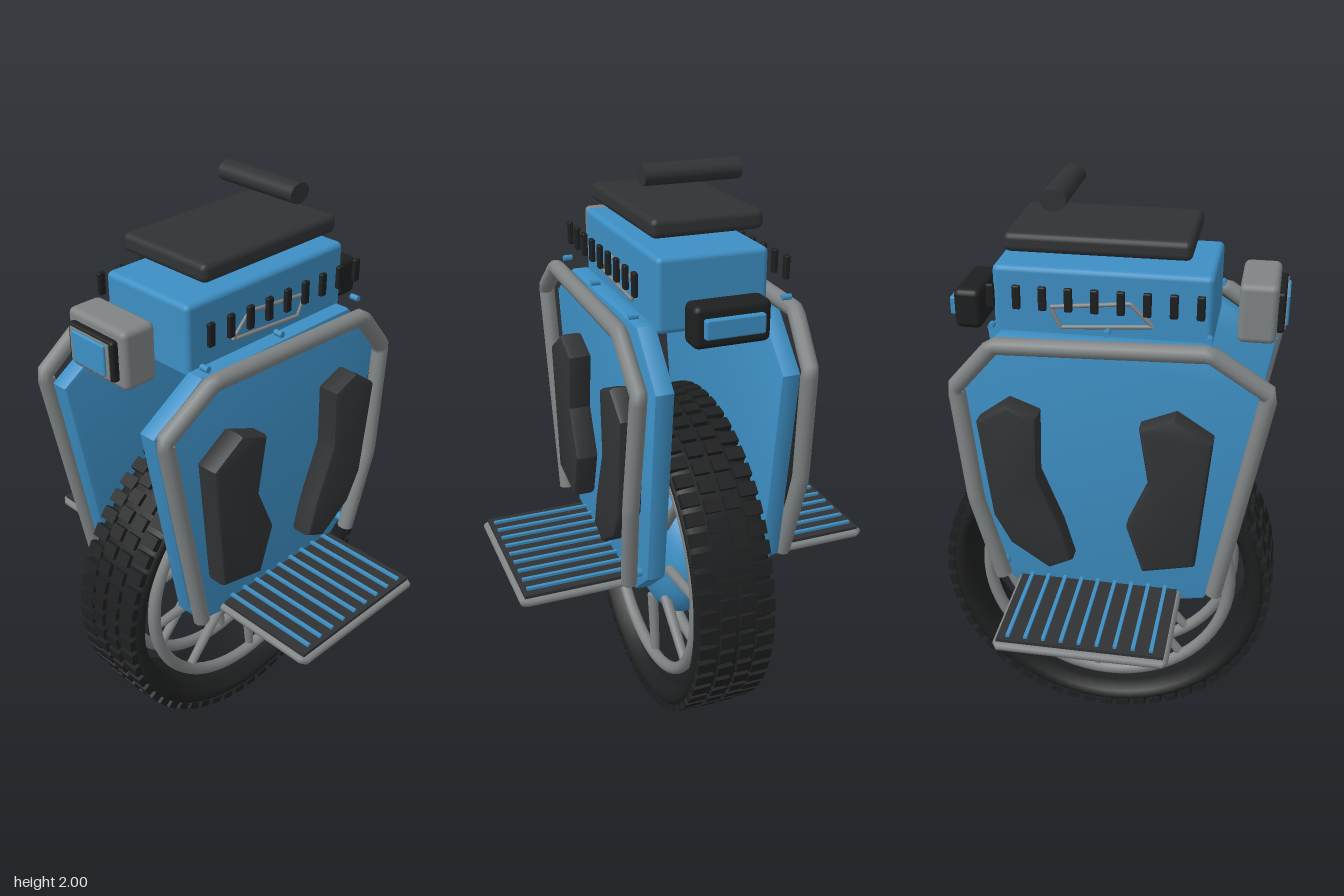
import * as THREE from 'three';
import { RoundedBoxGeometry } from 'three/addons/geometries/RoundedBoxGeometry.js';
import { toCreasedNormals } from 'three/addons/utils/BufferGeometryUtils.js';

const mat = (color) => new THREE.MeshStandardMaterial({ color });
const blue = mat(0x3d8fc4), dark = mat(0x303234), black = mat(0x1e1f20), steel = mat(0x808484);
const WHEEL_Y = 0.59;

export function createModel() {
  const model = new THREE.Group();

  const add = (name, geometry, material, x = 0, y = 0, z = 0, parent = model) => {
    const mesh = new THREE.Mesh(geometry, material);
    mesh.name = name;
    mesh.position.set(x, y, z);
    parent.add(mesh);
    return mesh;
  };
  const group = (name, y = 0) => {
    const g = new THREE.Group();
    g.name = name;
    g.position.y = y;
    model.add(g);
    return g;
  };
  const rounded = (w, h, d, r) => new RoundedBoxGeometry(w, h, d, 2, r);
  const axleCylinder = (r, length, sides = 24) =>
    new THREE.CylinderGeometry(r, r, length, sides).rotateZ(Math.PI / 2);

  // Plate from a (z, y) outline, bevelled and centred on x = 0
  const plate = (outline, thickness, bevel) => {
    const shape = new THREE.Shape(outline.map(([z, y]) => new THREE.Vector2(z, y)));
    const geometry = new THREE.ExtrudeGeometry(shape, {
      depth: thickness - 2 * bevel, bevelThickness: bevel, bevelSize: bevel,
      bevelOffset: -bevel, bevelSegments: 2,
    });
    geometry.translate(0, 0, bevel - thickness / 2).rotateY(-Math.PI / 2);
    return toCreasedNormals(geometry, 0.5);
  };

  // Bent bar with straight runs between its points
  const bar = (points, radius, closed = false) => {
    const path = new THREE.CatmullRomCurve3(
      points.map((p) => new THREE.Vector3(...p)), closed, 'catmullrom', 0);
    return new THREE.TubeGeometry(path, 100, radius, 10, closed);
  };

  // Wheel: tyre with tread blocks
  const wheel = group('wheel', WHEEL_Y);
  const tyreProfile = [
    [0.495, -0.09], [0.52, -0.128], [0.545, -0.136], [0.565, -0.12], [0.575, -0.06],
    [0.575, 0.06], [0.565, 0.12], [0.545, 0.136], [0.52, 0.128], [0.495, 0.09], [0.495, -0.09],
  ].map((p) => new THREE.Vector2(...p));
  add('tyre', new THREE.LatheGeometry(tyreProfile, 72).rotateZ(Math.PI / 2), black, 0, 0, 0, wheel);

  const rows = 56;
  const columns = [[-0.1, 0.062, 0.573], [-0.034, 0.052, 0.578], [0.034, 0.052, 0.578], [0.1, 0.062, 0.573]];
  columns.forEach(([x, width, radius], c) => {
    const block = new THREE.BoxGeometry(width, 0.024, 0.044);
    const tread = new THREE.InstancedMesh(block, black, 0);
    for (let i = 0; i < rows; i++) {
      const a = ((i + (c === 1 || c === 2 ? 0.5 : 0)) / rows) * Math.PI * 2;
      const m = add('treadBlock', block, black, x, Math.cos(a) * radius, Math.sin(a) * radius, wheel);
      m.rotation.x = a;
    }
    tread.dispose();
  });

  // Hub, axle, rims and spokes
  add('hub', new THREE.SphereGeometry(0.25, 36, 24).scale(0.52, 1, 1), blue, 0, 0, 0, wheel);
  add('axle', axleCylinder(0.06, 0.43), blue, 0, 0.01, 0, wheel);
  for (const s of [-1, 1]) {
    add('rim', new THREE.TorusGeometry(0.44, 0.022, 10, 64).rotateY(Math.PI / 2), steel, s * 0.085, 0, 0, wheel);
    for (let i = 0; i < 8; i++) {
      const spoke = add('spoke', new THREE.CylinderGeometry(0.016, 0.02, 0.25, 10), steel, s * 0.08, 0, 0, wheel);
      const a = (i / 8) * Math.PI * 2 + 0.09;
      spoke.position.set(s * 0.08, Math.cos(a) * 0.315, Math.sin(a) * 0.315);
      spoke.rotation.x = a;
    }
  }

  // Upper body, seat and carrying grip
  add('body', rounded(0.36, 0.235, 0.685, 0.018), blue, 0, 1.65, 0);
  add('bodyBase', rounded(0.33, 0.03, 0.6, 0.01), dark, 0, 1.535, 0);
  add('seat', rounded(0.36, 0.06, 0.575, 0.02), dark, 0, 1.84, -0.015);
  add('grip', axleCylinder(0.0325, 0.31).scale(1, 1, 1.25), dark, 0, 1.9675, -0.15);

  // Headlight and tail light
  add('headlightHousing', rounded(0.255, 0.19, 0.12, 0.02), steel, 0, 1.637, 0.473);
  add('headlightBezel', rounded(0.2, 0.13, 0.03, 0.01), black, 0, 1.637, 0.54);
  add('headlightInset', new THREE.BoxGeometry(0.172, 0.112, 0.01), steel, 0, 1.637, 0.553);
  add('headlightLens', rounded(0.145, 0.1, 0.02, 0.006), blue, 0, 1.637, 0.556);
  add('tailLightHousing', rounded(0.245, 0.13, 0.09, 0.02), black, 0, 1.592, -0.447);
  add('tailLightLens', rounded(0.19, 0.06, 0.03, 0.006), blue, 0, 1.592, -0.497);

  const panelOutline = [
    [0.36, 0.635], [0.41, 0.7], [0.535, 1.435], [0.34, 1.56], [-0.32, 1.56],
    [-0.475, 1.4], [-0.39, 0.72], [-0.27, 0.615], [0.25, 0.615],
  ];
  const padOutlines = {
    frontKneePad: [[0.37, 1.28], [0.25, 1.357], [0.138, 1.31], [0.17, 1.11], [0.1, 0.945], [0.155, 0.775], [0.33, 0.815]],
    rearKneePad: [[-0.185, 1.325], [-0.285, 1.363], [-0.385, 1.29], [-0.345, 0.95], [-0.29, 0.845],
      [-0.16, 0.755], [-0.08, 0.795], [-0.115, 0.92], [-0.19, 1.11]],
  };

  for (const s of [-1, 1]) {
    // Side panel with knee pads and guard bar
    add('sidePanel', plate(panelOutline, 0.064, 0.01), blue, s * 0.206);
    for (const [name, outline] of Object.entries(padOutlines)) {
      add(name, plate(outline, 0.085, 0.018), dark, s * 0.277);
    }
    const guard = [
      [0.275, 0.69, 0.395], [0.28, 1.45, 0.53], [0.29, 1.57, 0.35], [0.29, 1.55, -0.32],
      [0.28, 1.4, -0.45], [0.295, 1.0, -0.405], [0.28, 0.69, -0.33],
    ].map(([x, y, z]) => [s * x, y, z]);
    add('guardBar', bar(guard, 0.028), steel);
    for (const [, y, z] of [guard[0], guard[6]]) {
      add('guardBarMount', axleCylinder(0.016, 0.07, 10), blue, s * 0.25, y + 0.03, z);
    }
    for (const z of [-0.33, 0.03, 0.34]) {
      add('guardBolt', axleCylinder(0.01, 0.03, 8), blue, s * 0.25, 1.6, z);
    }

    // Thin trim loop and vent slots beside the body
    const trim = [[1.6, 0.16], [1.67, 0.09], [1.645, -0.16], [1.58, -0.13]].map(([y, z]) => [s * 0.18, y, z]);
    add('sideTrim', bar(trim, 0.007, true), steel);
    for (let i = 0; i < 9; i++) {
      add('ventSlot', rounded(0.016, 0.075, 0.025, 0.005), black, s * 0.245, 1.695, 0.31 - i * 0.08);
    }

    // Foot pedal: hinge, plate, edge frame and grip strips
    const hinge = new THREE.CylinderGeometry(0.022, 0.022, 0.46, 16).rotateX(Math.PI / 2);
    add('pedalHinge', hinge, blue, s * 0.262, 0.645, 0);
    add('pedalPlate', new THREE.BoxGeometry(0.36, 0.034, 0.54), dark, s * 0.435, 0.66, 0);
    const edge = [[0.25, 0.27], [0.617, 0.27], [0.617, -0.27], [0.25, -0.27]].map(([x, z]) => [s * x, 0.652, z]);
    add('pedalFrame', bar(edge, 0.015), steel);
    for (let i = 0; i < 9; i++) {
      add('pedalStrip', new THREE.BoxGeometry(0.35, 0.012, 0.012), blue, s * 0.425, 0.68, -0.235 + i * 0.058);
    }
  }
  return model;
}
